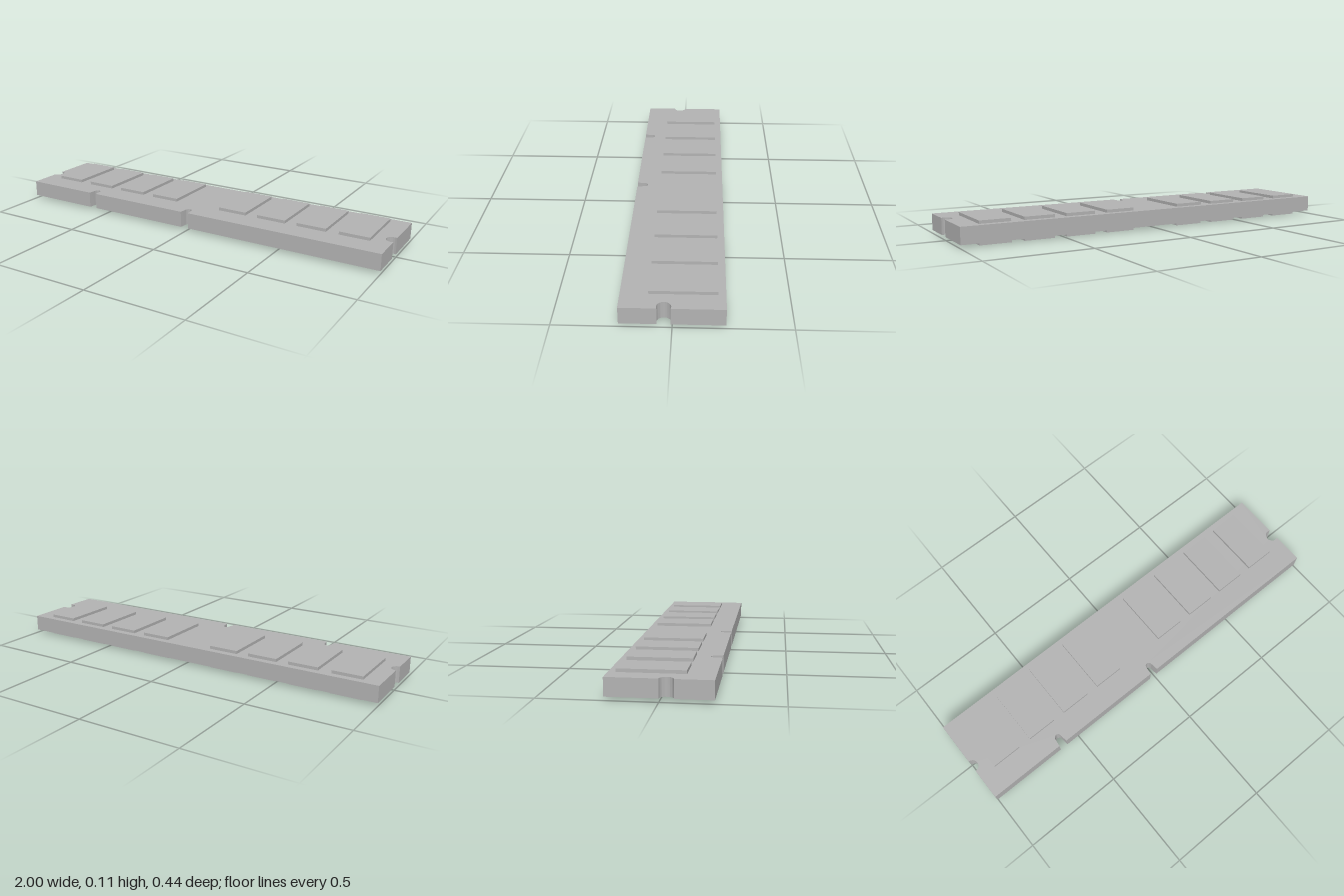
import * as THREE from 'three';
import { toCreasedNormals } from 'three/addons/utils/BufferGeometryUtils.js';

const HALF_DEPTH = 0.22;
const BOARD_BOTTOM = 0.016, BOARD_TOP = 0.096, TOTAL_HEIGHT = 0.111;

// Tapered, round-ended key slot cut into the front edge
function cutSlot(shape, x) {
  shape.lineTo(x - 0.021, -HALF_DEPTH);
  shape.lineTo(x - 0.016, -0.181);
  shape.absarc(x, -0.181, 0.016, Math.PI, 0, true);
  shape.lineTo(x + 0.021, -HALF_DEPTH);
}

// Board outline, with shape y pointing to the back
function boardOutline() {
  const shape = new THREE.Shape();
  shape.moveTo(-1, -HALF_DEPTH);
  cutSlot(shape, -0.591);
  cutSlot(shape, -0.008);
  shape.lineTo(1, -HALF_DEPTH);
  // round latch notches in both ends
  const mouth = Math.acos(0.012 / 0.031);
  shape.absarc(0.988, -0.034, 0.031, -mouth, mouth, true);
  shape.lineTo(1, HALF_DEPTH);
  shape.lineTo(-1, HALF_DEPTH);
  shape.absarc(-1, -0.03, 0.03, Math.PI / 2, -Math.PI / 2, true);
  shape.closePath();
  return shape;
}

export function createModel() {
  const group = new THREE.Group();
  group.name = 'memoryModule';
  const grey = new THREE.MeshStandardMaterial({ color: 0xb2b2b2 });
  grey.name = 'grey';

  // Circuit board
  const extruded = new THREE.ExtrudeGeometry(boardOutline(), {
    depth: BOARD_TOP - BOARD_BOTTOM, bevelEnabled: false, curveSegments: 20,
  });
  extruded.rotateX(-Math.PI / 2).translate(0, BOARD_BOTTOM, 0);
  const board = new THREE.Mesh(toCreasedNormals(extruded, 0.5), grey);
  board.name = 'circuitBoard';
  group.add(board);

  // Memory chips on both faces, four either side of the gap
  const chipHeight = TOTAL_HEIGHT - BOARD_TOP;
  const chipGeometry = new THREE.BoxGeometry(0.149, chipHeight, 0.289);
  const chipX = [-0.842, -0.628, -0.418, -0.206, 0.197, 0.41, 0.619, 0.831];
  const faces = [
    ['topChip', BOARD_TOP + chipHeight / 2],
    ['bottomChip', BOARD_BOTTOM - chipHeight / 2 - 0.001],
  ];
  for (const [name, y] of faces) {
    chipX.forEach((x, i) => {
      const chip = new THREE.Mesh(chipGeometry, grey);
      chip.name = `${name}${i + 1}`;
      chip.position.set(x, y, -0.043);
      // seat the lower chips on y = 0 with no gap to the board
      if (name === 'bottomChip') {
        chip.scale.y = BOARD_BOTTOM / chipHeight;
        chip.position.y = BOARD_BOTTOM / 2;
      }
      group.add(chip);
    });
  }
  return group;
}
